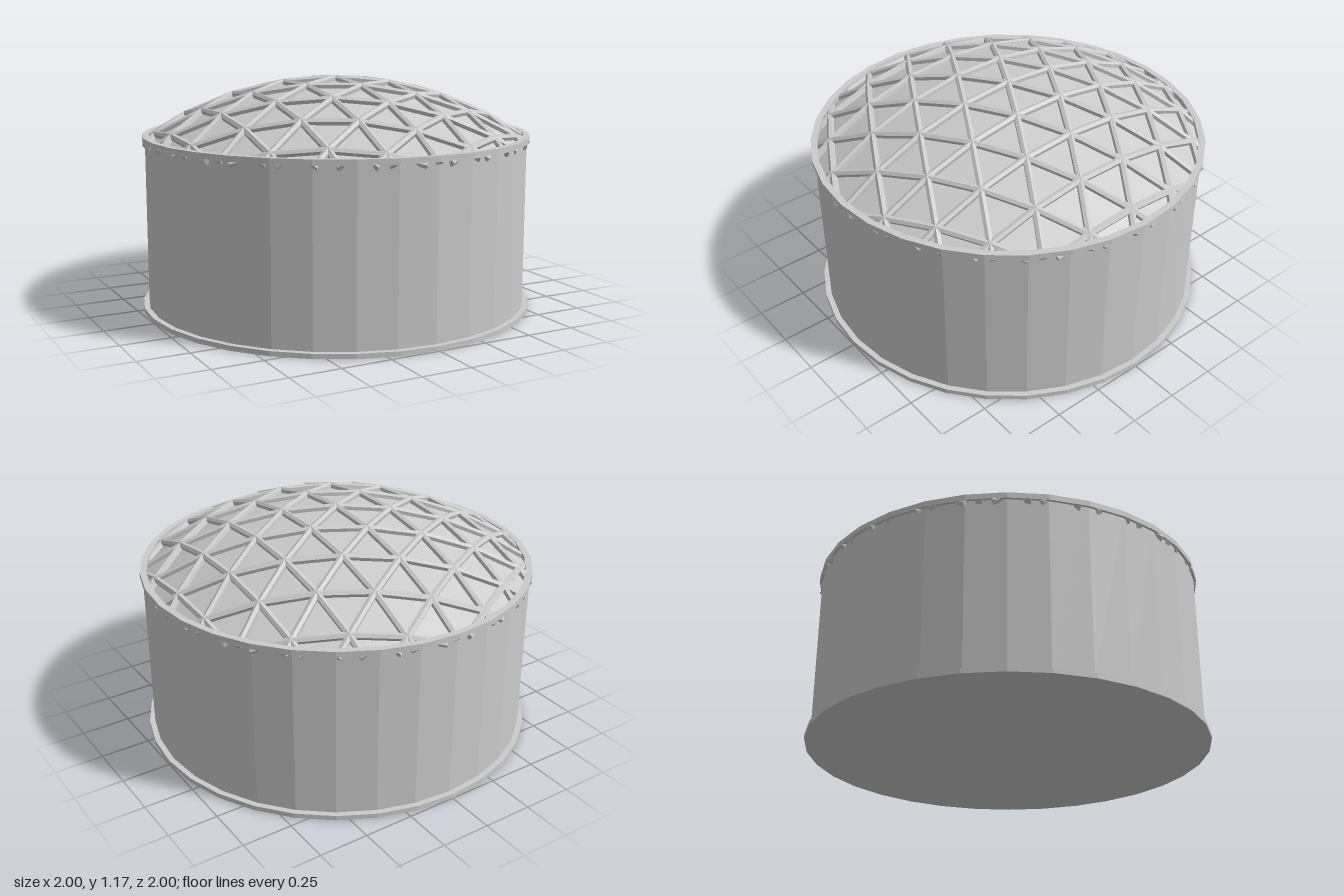
import * as THREE from 'three';
import { mergeGeometries } from 'three/addons/utils/BufferGeometryUtils.js';

const SIDES = 32;
const DOME_R = 1.7;            // sphere radius of the dome
const APEX = 1.157;            // height of the strut centre lines at the top
const CENTRE = new THREE.Vector3(0, APEX - DOME_R, 0);
const PITCH = 0.268;           // length of one lattice edge
const STRUT_R = 0.018;

const material = new THREE.MeshStandardMaterial({ color: 0xcccccc, flatShading: true });
const doubleSided = new THREE.MeshStandardMaterial({
  color: 0xcccccc, flatShading: true, side: THREE.DoubleSide,
});

// Lattice node (column i, step j) wrapped over the sphere of the given radius
function node(i, j, radius) {
  const x = i * PITCH * Math.sqrt(3) / 2;
  const z = (j + i / 2) * PITCH;
  const arc = Math.hypot(x, z), angle = arc / DOME_R;
  const s = arc ? radius * Math.sin(angle) / arc : 0;
  return new THREE.Vector3(x * s, radius * Math.cos(angle), z * s).add(CENTRE);
}

const reach = (p) => Math.hypot(p.x, p.z);

// Point between inside point a and outside point b at horizontal distance limit
function cross(a, b, limit) {
  let lo = 0, hi = 1;
  for (let k = 0; k < 25; k++) {
    const mid = (lo + hi) / 2;
    if (reach(a.clone().lerp(b, mid)) < limit) lo = mid; else hi = mid;
  }
  return a.clone().lerp(b, lo);
}

// Polygon trimmed to the circle of the tank
function trim(points, limit) {
  const out = [];
  points.forEach((a, k) => {
    const b = points[(k + 1) % points.length];
    const aIn = reach(a) < limit, bIn = reach(b) < limit;
    if (aIn) out.push(a);
    if (aIn !== bIn) out.push(aIn ? cross(a, b, limit) : cross(b, a, limit));
  });
  return out;
}

// Six-sided bar between two points, one ridge facing away from the sphere centre
function strut(a, b) {
  const along = b.clone().sub(a);
  const length = along.length();
  along.normalize();
  const mid = a.clone().lerp(b, 0.5);
  const side = along.clone().cross(mid.clone().sub(CENTRE)).normalize();
  const up = side.clone().cross(along);
  const matrix = new THREE.Matrix4().makeBasis(side, along, up).setPosition(mid);
  return new THREE.CylinderGeometry(STRUT_R, STRUT_R, length, 6).applyMatrix4(matrix);
}

// Visits every lattice cell that can touch the dome
function eachNode(visit) {
  for (let i = -6; i <= 6; i++) for (let j = -9; j <= 9; j++) visit(i, j);
}

function domeStruts() {
  const bars = [];
  const limit = 0.973;
  eachNode((i, j) => {
    for (const [di, dj] of [[1, 0], [0, 1], [1, -1]]) {
      let a = node(i, j, DOME_R), b = node(i + di, j + dj, DOME_R);
      if (reach(a) > reach(b)) [a, b] = [b, a];
      if (reach(a) >= limit) continue;
      if (reach(b) > limit) b = cross(a, b, limit);
      if (a.distanceTo(b) > 0.01) bars.push(strut(a, b));
    }
  });
  return mergeGeometries(bars);
}

function domePanels() {
  const positions = [];
  const at = (i, j) => node(i, j, DOME_R - 0.008);
  eachNode((i, j) => {
    const cells = [
      [at(i, j), at(i, j + 1), at(i + 1, j)],
      [at(i + 1, j), at(i, j + 1), at(i + 1, j + 1)],
    ];
    for (const cell of cells) {
      const poly = trim(cell, 0.963);
      for (let k = 1; k + 1 < poly.length; k++) {
        for (const p of [poly[0], poly[k], poly[k + 1]]) positions.push(p.x, p.y, p.z);
      }
    }
  });
  const geometry = new THREE.BufferGeometry();
  geometry.setAttribute('position', new THREE.Float32BufferAttribute(positions, 3));
  geometry.computeVertexNormals();
  return geometry;
}

export function createModel() {
  const group = new THREE.Group();
  const add = (name, geometry, mat = material) => {
    const mesh = new THREE.Mesh(geometry, mat);
    mesh.name = name;
    group.add(mesh);
    return mesh;
  };

  // Floor plate and cylindrical shell
  add('basePlate', new THREE.CylinderGeometry(1, 1, 0.024, SIDES)).position.y = 0.012;
  add('tankWall', new THREE.CylinderGeometry(0.972, 0.972, 0.85, SIDES, 1, true), doubleSided)
    .position.y = 0.444;

  // Rectangular ring around the top of the shell
  const profile = [[0.953, 0.857], [0.985, 0.857], [0.985, 0.885], [0.953, 0.885], [0.953, 0.857]];
  add('topRim', new THREE.LatheGeometry(profile.map(([r, y]) => new THREE.Vector2(r, y)), SIDES),
    doubleSided);

  // Triangulated dome roof
  add('domePanels', domePanels(), doubleSided);
  add('domeStruts', domeStruts());
  return group;
}
